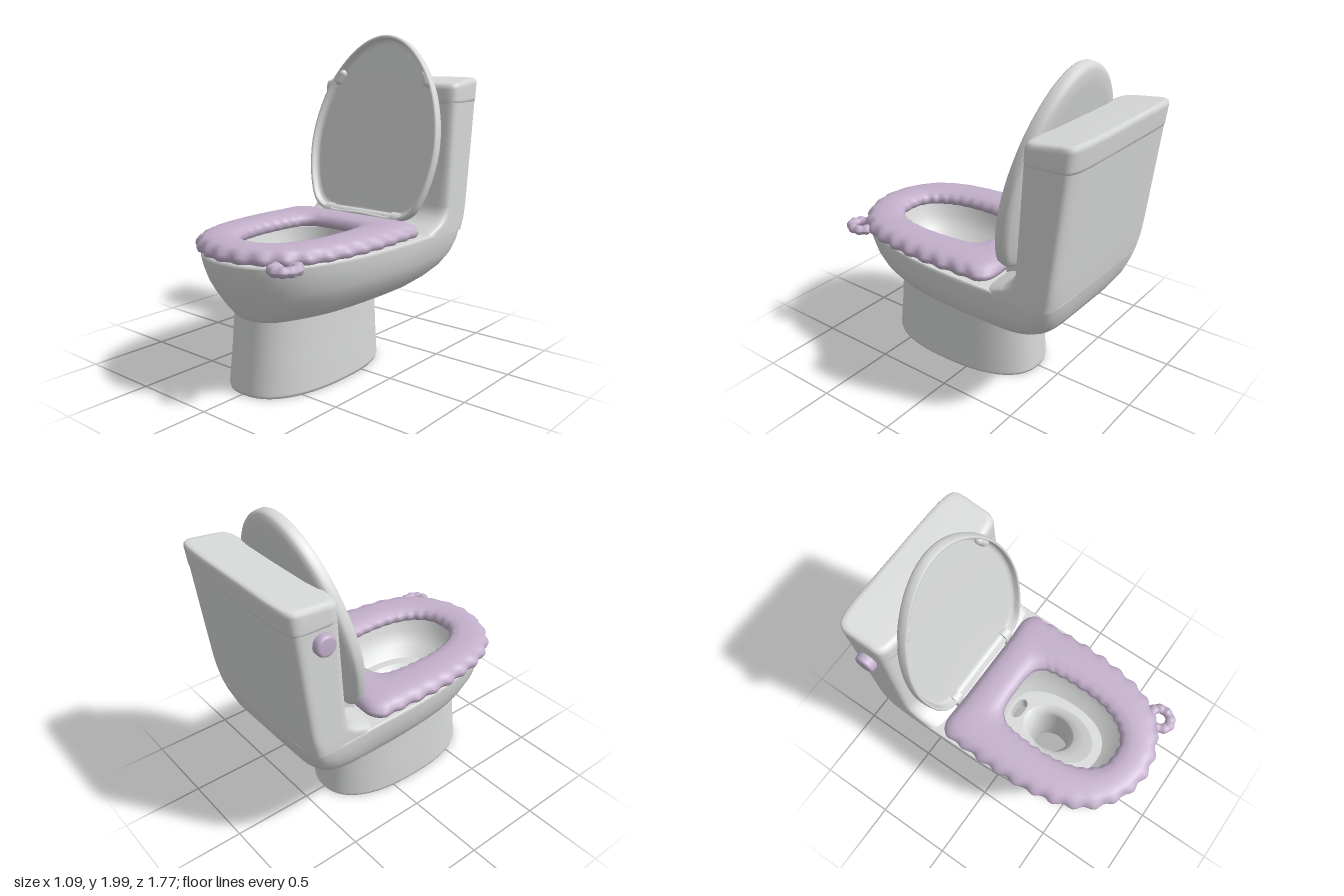
import * as THREE from 'three';

const SEG = 96;

// Horizontal ring: front half and back half are superellipses with their own exponents
function ring(y, zf, zb, w, { zc = (zf + zb) / 2, nf = 2, nb = nf, cx = 0, slope = 0 } = {}) {
  const pts = [];
  for (let i = 0; i < SEG; i++) {
    const a = (i / SEG) * Math.PI * 2, c = Math.cos(a), s = Math.sin(a);
    const p = 2 / (s >= 0 ? nf : nb);
    const x = cx + w * Math.sign(c) * Math.abs(c) ** p;
    const z = zc + (s >= 0 ? zf - zc : zb - zc) * Math.abs(s) ** p;
    pts.push(new THREE.Vector3(x, y - slope * (z + 0.72), z));
  }
  return pts;
}

// Smooth skin over a list of closed rings of equal length
function loft(rings, closed = false) {
  const n = rings[0].length, pos = [], idx = [];
  rings.forEach(r => r.forEach(p => pos.push(p.x, p.y, p.z)));
  const rows = closed ? rings.length : rings.length - 1;
  for (let r = 0; r < rows; r++) {
    const r2 = (r + 1) % rings.length;
    for (let i = 0; i < n; i++) {
      const j = (i + 1) % n;
      const a = r * n + i, b = r * n + j, c = r2 * n + i, d = r2 * n + j;
      idx.push(a, c, b, b, c, d);
    }
  }
  const g = new THREE.BufferGeometry();
  g.setAttribute('position', new THREE.Float32BufferAttribute(pos, 3));
  g.setIndex(idx);
  g.computeVertexNormals();
  return g;
}

// Flat horizontal plate bounded by a ring, with ring-shaped holes
function plate(outer, holes, y) {
  const flat = r => r.map(p => new THREE.Vector2(p.x, p.z));
  const s = new THREE.Shape(flat(outer));
  holes.forEach(h => s.holes.push(new THREE.Path(flat(h))));
  return new THREE.ShapeGeometry(s).rotateX(Math.PI / 2).translate(0, y, 0);
}

// Closed curve mirrored from half-outline points running from x = 0 to x = 0
function mirrored(half) {
  const rest = half.slice(1, -1).reverse().map(([x, y]) => [-x, y]);
  return new THREE.CatmullRomCurve3(
    [...half, ...rest].map(([x, y]) => new THREE.Vector3(x, y, 0)), true, 'centripetal');
}

export function createModel() {
  const model = new THREE.Group();
  const ceramic = new THREE.MeshStandardMaterial({ name: 'lightGreyCeramic', color: 0xd8d9d9, side: THREE.DoubleSide });
  const lilac = new THREE.MeshStandardMaterial({ name: 'lilac', color: 0xc3b0cb, side: THREE.DoubleSide });
  const add = (name, geo, mat = ceramic, parent = model) => {
    const m = new THREE.Mesh(geo, mat);
    m.name = name;
    parent.add(m);
    return m;
  };

  // Hollow pedestal
  const foot = (y, zf, zb, w) => ring(y, zf, zb, w, { nf: 2.4, cx: 0.005 });
  add('pedestal', loft([
    foot(0.42, 0.64, -0.30, 0.255), foot(0.01, 0.68, -0.32, 0.265), foot(0, 0.69, -0.33, 0.275),
    foot(0, 0.715, -0.355, 0.292), foot(0.02, 0.72, -0.36, 0.298), foot(0.24, 0.695, -0.345, 0.288),
    foot(0.45, 0.675, -0.335, 0.285)]));

  // Bowl outside, sweeping back under the tank
  const bowl = [
    [0.425, 0.66, -0.34, 0.27, 2.5], [0.432, 0.685, -0.42, 0.295, 2.8], [0.46, 0.71, -0.525, 0.345, 3.4],
    [0.51, 0.745, -0.61, 0.405, 4.5], [0.57, 0.78, -0.672, 0.455, 6], [0.64, 0.82, -0.715, 0.487, 8],
    [0.72, 0.85, -0.743, 0.506, 10], [0.78, 0.866, -0.76, 0.512, 11], [0.795, 0.863, -0.763, 0.512, 11],
    [0.8, 0.85, -0.763, 0.505, 11],
  ].map(([y, zf, zb, w, nb]) => ring(y, zf, zb, w, { zc: -0.2, nf: 2.5, nb, cx: 0.02 }));
  add('bowl', loft(bowl));

  // Basin: sloping wall, floor with an overflow vent, shallow well and drain pipe
  const wall = [[0.8, 0.725, -0.14, 0.345], [0.7, 0.7, -0.13, 0.325], [0.62, 0.65, -0.12, 0.285], [0.56, 0.56, -0.105, 0.225]]
    .map(([y, zf, zb, w]) => ring(y, zf, zb, w, { nf: 2.3 }));
  const well = [
    [0.56, 0.5, 0.01, 0.17], [0.545, 0.44, 0.03, 0.145], [0.52, 0.37, 0.05, 0.122], [0.5, 0.36, 0.055, 0.118],
    [0.47, 0.335, 0.08, 0.115], [0.3, 0.335, 0.08, 0.115],
    [0.1, 0.335, 0.08, 0.115], [0.1, 0.36, 0.055, 0.14], [0.43, 0.36, 0.055, 0.14],
  ].map(([y, zf, zb, w]) => ring(y, zf, zb, w));
  const vent = y => ring(y, -0.01, -0.085, 0.07, { nf: 2.3 });
  add('basinWall', loft(wall));
  add('basinFloor', plate(wall.at(-1), [well[0], vent(0)], 0.56));
  add('basinWell', loft(well));
  add('vent', loft([vent(0.56), vent(0.425)]));
  add('deck', plate(bowl.at(-1), [wall[0]], 0.8));
  add('bowlUnderside', plate(bowl[0], [well.at(-1), vent(0)], 0.425));

  // Tank, flaring forward into the deck
  add('tank', loft([
    [0.78, -0.30, -0.759, 0.512], [0.81, -0.34, -0.765, 0.513], [0.84, -0.42, -0.769, 0.514],
    [0.885, -0.485, -0.776, 0.514], [0.95, -0.515, -0.785, 0.514], [1.2, -0.53, -0.815, 0.514],
    [1.6, -0.552, -0.862, 0.514],
  ].map(([y, zf, zb, w]) => ring(y, zf, zb, w, { nf: 8, cx: 0.021 }))));
  add('tankLid', loft([
    [1.57, -0.56, -0.85, 0.50], [1.585, -0.548, -0.868, 0.515], [1.6, -0.546, -0.87, 0.517],
    [1.68, -0.548, -0.882, 0.516], [1.7, -0.552, -0.882, 0.513], [1.713, -0.567, -0.872, 0.501],
    [1.715, -0.587, -0.85, 0.478], [1.715, -0.717, -0.7171, 0.0001],
  ].map(([y, zf, zb, w], i) => ring(y, zf, zb, w, { nf: 7, cx: 0.022, slope: i > 2 ? 0.11 : 0.03 }))));

  // Flush button on the side of the tank
  const button = new THREE.Group();
  button.name = 'flushButton';
  button.position.set(-0.487, 1.51, -0.69);
  button.rotation.z = Math.PI / 2;
  model.add(button);
  add('buttonCap', new THREE.LatheGeometry([[0, 0.06], [0.045, 0.06], [0.056, 0.055], [0.061, 0.045],
    [0.061, 0.015], [0.054, 0.006], [0.05, -0.03]].map(p => new THREE.Vector2(...p)).reverse(), 32), lilac, button);

  // Raised lid: domed shell with a thin rim around a recessed panel
  const lid = new THREE.Group();
  lid.name = 'lid';
  lid.position.set(0.017, 0.85, -0.31);
  lid.rotation.x = -0.222;
  model.add(lid);
  const egg = mirrored([[0, 0.015], [0.28, 0.015], [0.38, 0.065], [0.44, 0.18], [0.481, 0.36], [0.487, 0.5],
    [0.46, 0.68], [0.385, 0.88], [0.25, 1.06], [0.12, 1.15], [0, 1.177]]);
  const eggPts = egg.getPoints(SEG);
  eggPts.pop();
  const eggRing = (k, z) => eggPts.map(p => new THREE.Vector3(p.x * k, 0.6 + (p.y - 0.6) * k, z));
  add('lidShell', loft([eggRing(0.0002, -0.05), eggRing(0.9, -0.05), eggRing(0.94, -0.044), eggRing(0.953, -0.03),
    eggRing(0.96, -0.006), eggRing(0.967, 0), eggRing(0.985, 0), eggRing(0.995, -0.008), eggRing(1, -0.03),
    eggRing(1, -0.05), eggRing(0.985, -0.066), eggRing(0.94, -0.08), eggRing(0.8, -0.09),
    eggRing(0.0002, -0.095)]), ceramic, lid);
  for (const s of [-1, 1]) {
    // Bumpers inside the rim
    const bumper = add('lidBumper', new THREE.CapsuleGeometry(0.028, 0.05, 6, 12), ceramic, lid);
    bumper.position.set(s * 0.337, 0.9, -0.03);
    bumper.rotation.z = s * 0.5;
    // Hinge knuckles
    const hinge = add('hinge', new THREE.CylinderGeometry(0.046, 0.046, 0.055, 20));
    hinge.rotation.z = Math.PI / 2;
    hinge.position.set(0.012 + s * 0.26, 0.862, -0.357);
    const post = add('hingePost', new THREE.BoxGeometry(0.055, 0.08, 0.08));
    post.position.set(0.012 + s * 0.26, 0.83, -0.357);
  }
  const rod = add('hingeRod', new THREE.CylinderGeometry(0.036, 0.036, 0.5, 20));
  rod.rotation.z = Math.PI / 2;
  rod.position.set(0.012, 0.862, -0.367);

  // Padded seat cover: inner and outer outlines joined by a puffy section with a ruffled hem
  const outer = mirrored([[0, -0.312], [0.24, -0.312], [0.43, -0.312], [0.482, -0.27], [0.493, -0.1], [0.5, 0.12],
    [0.485, 0.35], [0.435, 0.58], [0.335, 0.74], [0.17, 0.845], [0, 0.88]]);
  const inner = mirrored([[0, -0.075], [0.1, -0.072], [0.165, -0.055], [0.21, -0.005], [0.228, 0.08], [0.236, 0.2],
    [0.232, 0.35], [0.205, 0.48], [0.16, 0.57], [0.09, 0.635], [0, 0.65]]);
  const N = 300, RUFFLES = 30;
  // [position from inner 0 to outer 1, height, ruffle strength]
  const section = [[0.06, 0.81, 0.3], [0, 0.835, 0.5], [0.03, 0.862, 0.3], [0.13, 0.882, 0.1], [0.32, 0.892, 0],
    [0.6, 0.892, 0], [0.8, 0.884, 0.15], [0.92, 0.868, 0.6], [0.99, 0.843, 1], [1, 0.825, 1.1], [0.97, 0.806, 1],
    [0.85, 0.803, 0.3]];
  add('seatCover', loft(section.map(([k, y, ruffle]) => {
    const pts = [];
    for (let i = 0; i < N; i++) {
      const u = i / N, t = outer.getUtoTmapping(u);
      const o = outer.getPoint(t), q = inner.getPoint(t);
      const dir = o.clone().sub(q).normalize();
      const sides = THREE.MathUtils.smoothstep(o.y, -0.3, -0.2);
      const wave = 0.009 * ruffle * sides * Math.cos(u * RUFFLES * Math.PI * 2);
      const p = q.lerp(o, k).addScaledVector(dir, wave);
      pts.push(new THREE.Vector3(p.x + 0.014, y, p.y));
    }
    return pts;
  }), true), lilac);

  // Crinkled pull loop on the front edge of the cover
  const loop = new THREE.TorusGeometry(0.06, 0.029, 12, 60).rotateX(Math.PI / 2);
  const lp = loop.attributes.position;
  for (let i = 0; i < lp.count; i++) {
    const a = Math.atan2(lp.getZ(i), lp.getX(i)), f = 1 + 0.025 * Math.cos(a * 9);
    lp.setXYZ(i, lp.getX(i) * f, lp.getY(i) * (1 + 0.1 * Math.cos(a * 9)), lp.getZ(i) * f * 1.15);
  }
  loop.computeVertexNormals();
  const pull = add('pullLoop', loop, lilac);
  pull.position.set(0.38, 0.803, 0.758);
  pull.rotation.y = -0.25;

  return model;
}
